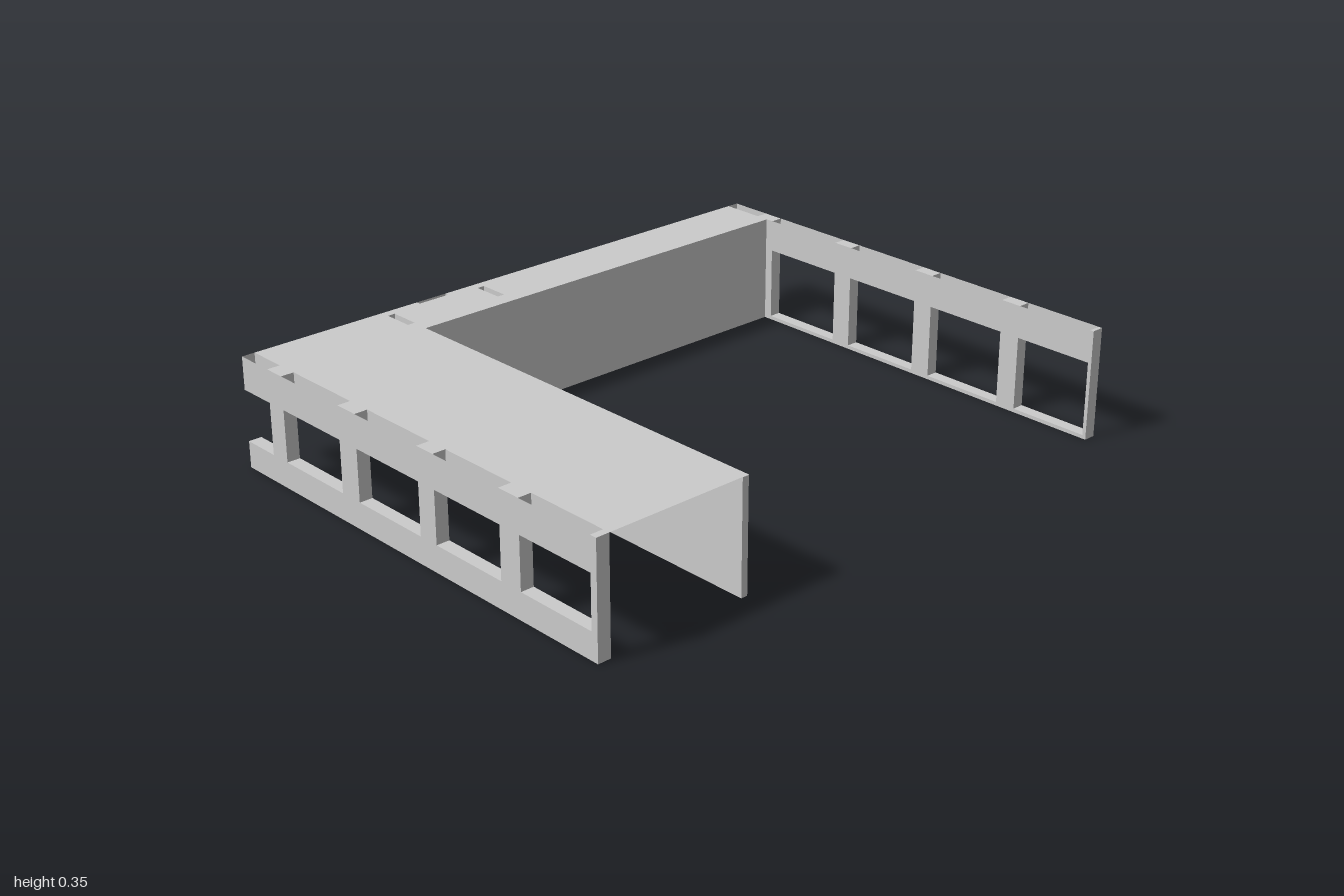
import * as THREE from 'three';

const H = 0.355, HEAD = 0.25, X = 0.78;
const material = new THREE.MeshStandardMaterial({ color: 0xcccccc, side: THREE.DoubleSide, flatShading: true });

// Box between two corners; skip drops one face (2 = top, 3 = bottom)
function block(name, x0, x1, y0, y1, z0, z1, skip = -1) {
  const g = new THREE.BoxGeometry(x1 - x0, y1 - y0, z1 - z0);
  g.translate((x0 + x1) / 2, (y0 + y1) / 2, (z0 + z1) / 2);
  if (skip >= 0) {
    const index = Array.from(g.index.array);
    index.splice(skip * 6, 6);
    g.setIndex(index);
    g.clearGroups();
  }
  const mesh = new THREE.Mesh(g, material);
  mesh.name = name;
  return mesh;
}

// Wall running along x or z from a to b, thickness t0..t1, with hollow sills and lintels at its openings
function openWall(name, axis, a, b, t0, t1, openings, sill) {
  const wall = new THREE.Group();
  wall.name = name;
  const add = (part, u0, u1, y0, y1, skip) => wall.add(axis === 'x'
    ? block(part, u0, u1, y0, y1, t0, t1, skip)
    : block(part, t0, t1, y0, y1, u0, u1, skip));
  let from = a;
  for (const [u0, u1] of openings) {
    if (u0 - from > 0.001) add('pier', from, u0, 0, H);
    add('sill', u0, u1, 0, sill, 3);
    add('lintel', u0, u1, HEAD, H, 2);
    from = u1;
  }
  if (b - from > 0.001) add('pier', from, b, 0, H);
  return wall;
}

export function createModel() {
  const model = new THREE.Group();
  model.name = 'buildingShell';

  const frontWindows = [[-X, -0.65], [-0.58, -0.305], [-0.225, 0.055], [0.125, 0.4], [0.48, 0.757]];
  const backWindows = [[-X, -0.637], [-0.567, -0.275], [-0.205, 0.075], [0.145, 0.43], [0.5, 0.768]];
  const doorway = [[-0.75, -0.65]];
  const entrance = [[0.26, 0.37]];

  // Long window walls
  model.add(openWall('frontWall', 'x', -X, X, 0.957, 1, frontWindows, 0.085));
  model.add(openWall('backWall', 'x', -X, X, -1, -0.96, backWindows, 0.012));

  // Solid inner walls
  model.add(block('roomWall', -0.615, X, 0, H - 0.001, 0.478, 0.5));
  model.add(block('corridorWall', -0.615, -0.595, 0, H - 0.001, -0.96, 0.478));

  // Entrance lobby
  model.add(openWall('lobbyBackWall', 'x', -X, -0.615, 0.132, 0.157, doorway, 0.012));
  model.add(openWall('lobbyFrontWall', 'x', -X, -0.615, 0.476, 0.501, doorway, 0.012));
  model.add(openWall('lobbyOuterWall', 'z', 0.157, 0.476, -X, -0.766, entrance, 0.012));

  // Thin L-shaped roof, notched above the openings (shape y is -z)
  const outline = [[-X, 0.96], [-X, -0.26], [-0.766, -0.26], [-0.766, -0.37], [-X, -0.37]];
  for (const [u0, u1] of frontWindows) {
    if (u0 > -X) outline.push([u0, -1]);
    outline.push([u0, -0.957], [u1, -0.957], [u1, -1]);
  }
  outline.push([X, -1], [X, -0.478], [-0.595, -0.478], [-0.595, 0.96]);
  const toPoints = list => list.map(([x, y]) => new THREE.Vector2(x, y));
  const shape = new THREE.Shape(toPoints(outline));
  for (const z of [0.132, 0.476]) {
    shape.holes.push(new THREE.Path(toPoints([[-0.75, -z], [-0.65, -z], [-0.65, -z - 0.025], [-0.75, -z - 0.025]])));
  }
  const roof = new THREE.Mesh(new THREE.ShapeGeometry(shape).rotateX(-Math.PI / 2), material);
  roof.position.y = H;
  roof.name = 'roof';
  model.add(roof);
  return model;
}
